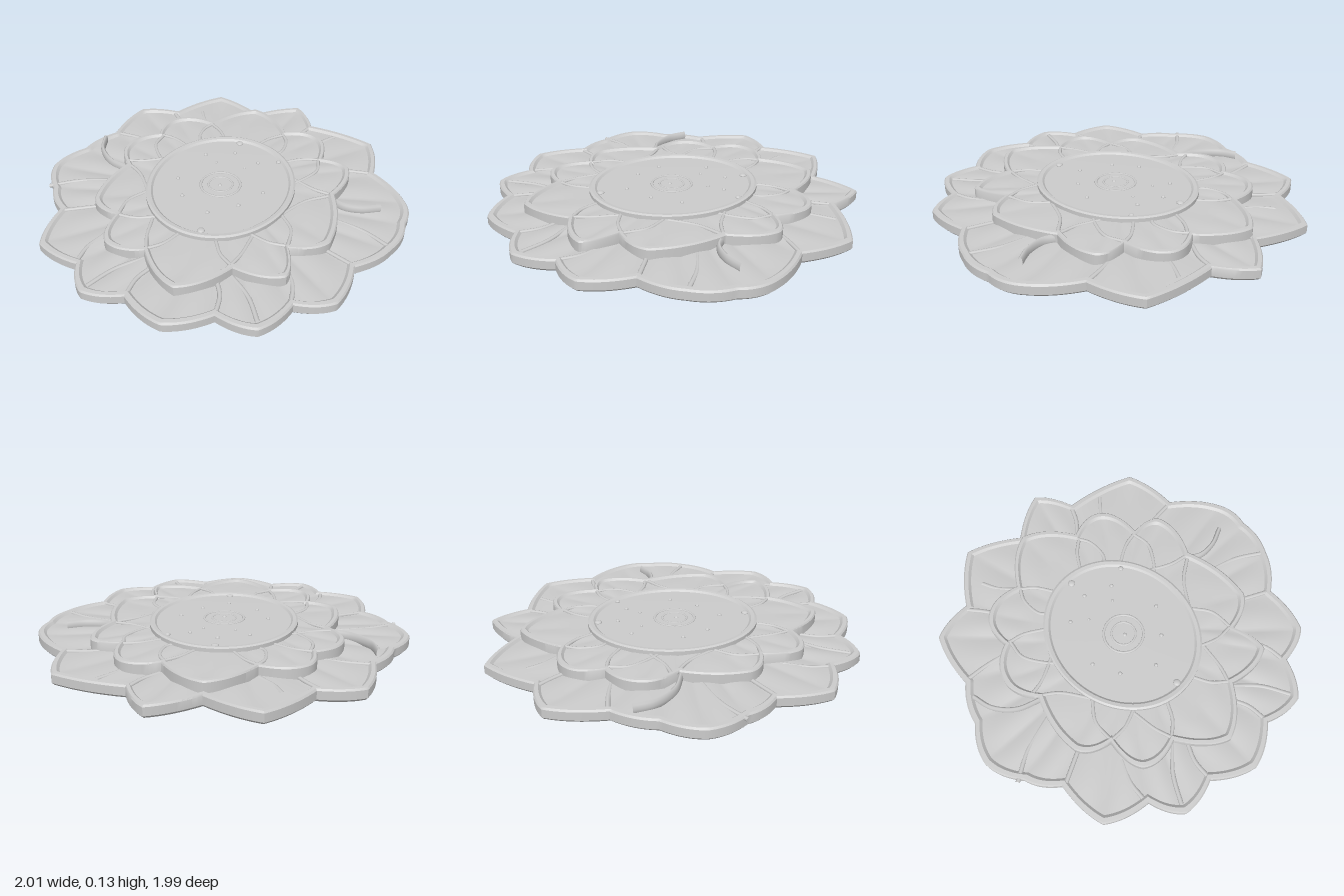
import * as THREE from 'three';
import { toCreasedNormals } from 'three/addons/utils/BufferGeometryUtils.js';

const material = new THREE.MeshStandardMaterial({ color: 0xcccccc, roughness: 0.7 });
const STEPS = 12;

// Petal outlines as [x, z], alternating notch and tip
const OUTER = [
  [0, -0.86], [0.24, -1.0], [0.36, -0.81], [0.74, -0.71], [0.79, -0.42], [0.98, -0.21], [1.0, -0.02],
  [0.95, 0.2], [0.79, 0.38], [0.745, 0.645], [0.55, 0.71], [0.43, 0.9], [0.22, 0.87], [0, 0.99],
  [-0.22, 0.87], [-0.43, 0.9], [-0.53, 0.73], [-0.77, 0.645], [-0.79, 0.36], [-0.91, 0.2], [-1.0, 0],
  [-0.9, -0.2], [-0.79, -0.41], [-0.73, -0.71], [-0.5, -0.75], [-0.28, -1.0],
];
const MIDDLE = [
  [0.23, -0.63], [0.43, -0.63], [0.49, -0.41], [0.65, -0.36], [0.61, -0.1], [0.65, 0.29],
  [0.46, 0.39], [0.49, 0.59], [0.23, 0.6], [0, 0.8], [-0.22, 0.6], [-0.43, 0.59],
  [-0.46, 0.38], [-0.62, 0.28], [-0.57, -0.06], [-0.64, -0.25], [-0.5, -0.41], [-0.45, -0.6],
  [-0.23, -0.62], [0, -0.83],
];

function mesh(geometry, name, parent) {
  const m = new THREE.Mesh(geometry, material);
  m.name = name;
  parent.add(m);
  return m;
}

// Sample the bulging petal edges; v is 0 at a notch and 1 at a tip
function sampleOutline(corners, bulge) {
  const pts = [];
  corners.forEach(([x, z], i) => {
    const [x2, z2] = corners[(i + 1) % corners.length];
    const curve = new THREE.QuadraticBezierCurve(
      new THREE.Vector2(x, z),
      new THREE.Vector2((x + x2) / 2 * bulge, (z + z2) / 2 * bulge),
      new THREE.Vector2(x2, z2));
    for (let s = 0; s < STEPS; s++) {
      const p = curve.getPoint(s / STEPS);
      pts.push({ x: p.x, z: p.y, v: i % 2 ? 1 - s / STEPS : s / STEPS });
    }
  });
  return pts;
}

// Loft a tier through rings of [inset from the outline, height, petal relief]
function tierGeometry(corners, bulge, rings) {
  const outline = sampleOutline(corners, bulge), n = outline.length;
  const pos = [], idx = [];
  for (const [inset, y, relief] of rings) {
    for (const p of outline) {
      const r = Math.hypot(p.x, p.z), k = Math.max(0, r - inset) / r;
      pos.push(p.x * k, y + relief * (Math.sin(p.v * Math.PI) - 0.5), p.z * k);
    }
  }
  for (let i = 0; i < rings.length - 1; i++) {
    for (let j = 0; j < n; j++) {
      const a = i * n + j, b = i * n + (j + 1) % n, c = b + n, d = a + n;
      if (i > 0) idx.push(a, d, b);
      if (i < rings.length - 2) idx.push(b, d, c);
      else idx.push(a, d, b);
    }
    // the first band fans out from the centre
    if (i === 0) for (let j = 0; j < n; j++) idx.push(j, n + j, n + (j + 1) % n);
  }
  const g = new THREE.BufferGeometry();
  g.setAttribute('position', new THREE.Float32BufferAttribute(pos, 3));
  g.setIndex(idx);
  return toCreasedNormals(g, 0.6);
}

// Low rounded ridge along a smooth path of [x, z] points
function ridge(points, y, radius, height, name, parent) {
  const curve = new THREE.CatmullRomCurve3(points.map(([x, z]) => new THREE.Vector3(x, 0, z)));
  const m = mesh(new THREE.TubeGeometry(curve, 20, radius, 8), name, parent);
  m.scale.y = height / radius;
  m.position.y = y;
}

export function createModel() {
  const model = new THREE.Group();
  model.name = 'lotusPlaque';

  // Wide lower petals with raised rims
  const lower = new THREE.Group();
  lower.name = 'lowerPetals';
  model.add(lower);
  mesh(tierGeometry(OUTER, 1.04, [
    [2, 0, 0], [0.012, 0, 0], [0, 0.012, 0], [0, 0.055, 0], [0.008, 0.064, 0], [0.03, 0.065, 0],
    [0.045, 0.053, 0], [0.12, 0.054, 0.008], [0.22, 0.056, 0.01], [0.34, 0.057, 0.008], [2, 0.058, 0],
  ]), 'lowerPetalBody', lower);

  // Seams between the lower petals
  const lowerSeams = [
    [[0.02, -0.87], [0, -0.83], [0, -0.8]],
    [[0.35, -0.8], [0.31, -0.72], [0.24, -0.64]],
    [[0.52, -0.74], [0.46, -0.67], [0.41, -0.6]],
    [[0.78, -0.42], [0.66, -0.41], [0.5, -0.38]],
    [[0.78, 0.37], [0.7, 0.33], [0.6, 0.28]],
    [[0.54, 0.7], [0.53, 0.6], [0.48, 0.48]],
    [[0.42, 0.86], [0.34, 0.72], [0.22, 0.6]],
    [[0.22, 0.86], [0.21, 0.75], [0.17, 0.66]],
    [[0.95, 0.19], [0.8, 0.1], [0.6, 0.04]],
  ];
  for (const seam of lowerSeams) {
    for (const s of [1, -1]) {
      ridge(seam.map(([x, z]) => [s * x * 0.99, z * 0.99]), 0.053, 0.012, 0.01, 'lowerPetalSeam', lower);
    }
  }

  // Two upright curled petal edges at the sides
  ridge([[0.58, -0.1], [0.66, -0.05], [0.76, -0.05], [0.86, -0.09]], 0.07, 0.013, 0.03, 'curledEdgeLeft', lower);
  ridge([[-0.81, -0.31], [-0.78, -0.2], [-0.69, -0.1], [-0.56, -0.05]], 0.07, 0.013, 0.03, 'curledEdgeRight', lower);

  // Upper petals stacked on the lower ones
  const upper = new THREE.Group();
  upper.name = 'upperPetals';
  model.add(upper);
  mesh(tierGeometry(MIDDLE, 1.09, [
    [2, 0.04, 0], [0, 0.04, 0], [0, 0.104, 0], [0.007, 0.112, 0], [0.026, 0.113, 0],
    [0.04, 0.1, 0], [0.09, 0.101, 0.006], [0.16, 0.103, 0.007], [0.26, 0.104, 0], [2, 0.105, 0],
  ]), 'upperPetalBody', upper);

  // Curved overlaps running from the notches to the disc
  const upperSeams = [
    [[0.22, -0.62], [0.26, -0.54], [0.25, -0.42], [0.2, -0.38]],
    [[0.23, -0.61], [0.16, -0.55], [0.1, -0.46]],
    [[0.49, -0.41], [0.4, -0.39], [0.28, -0.32]],
    [[0.48, -0.4], [0.49, -0.3], [0.42, -0.18], [0.36, -0.12]],
    [[0.59, -0.1], [0.5, -0.12], [0.38, -0.18]],
    [[0.59, -0.08], [0.48, 0.0], [0.38, 0.14]],
    [[0.46, 0.38], [0.36, 0.38], [0.25, 0.34]],
    [[0.46, 0.38], [0.45, 0.25], [0.38, 0.15]],
    [[0.22, 0.59], [0.15, 0.53], [0.1, 0.44]],
    [[0.22, 0.59], [0.25, 0.5], [0.27, 0.36]],
  ];
  for (const seam of upperSeams) {
    for (const s of [1, -1]) {
      ridge(seam.map(([x, z]) => [s * x * 0.98, z * 0.98]), 0.102, 0.01, 0.009, 'upperPetalSeam', upper);
    }
  }

  // Oval centre disc with a raised rim
  const centre = new THREE.Group();
  centre.name = 'centre';
  model.add(centre);
  const profile = [[0, 0.122], [0.365, 0.118], [0.375, 0.128], [0.392, 0.13], [0.402, 0.124], [0.402, 0.08]]
    .reverse().map(([x, y]) => new THREE.Vector2(x, y));
  const disc = mesh(toCreasedNormals(new THREE.LatheGeometry(profile, 72), 0.6), 'centreDisc', centre);
  disc.scale.z = 1.145;
  disc.position.z = -0.01;

  // Faint rings and a pin in the middle
  for (const [radius, tube] of [[0.108, 0.007], [0.065, 0.006]]) {
    const ring = mesh(new THREE.TorusGeometry(radius, tube, 8, 48), 'centreRing', centre);
    ring.rotation.x = Math.PI / 2;
    ring.scale.z = 0.6;
    ring.position.y = 0.121;
  }

  // Small studs as [x, z, radius]
  const studs = [
    [0, 0.01, 0.012], [0, -0.31, 0.011], [-0.16, -0.25, 0.011], [0.15, -0.25, 0.011], [0.24, 0.01, 0.011],
    [-0.24, 0.01, 0.011], [-0.17, 0.15, 0.011], [0.14, 0.15, 0.011], [0, 0.25, 0.011],
    [-0.08, -0.19, 0.008], [0.09, -0.18, 0.008],
    [0.26, -0.29, 0.014], [0, -0.415, 0.02], [0.01, 0.395, 0.02],
  ];
  for (const [x, z, r] of studs) {
    const stud = mesh(new THREE.SphereGeometry(r, 14, 8), 'stud', centre);
    stud.scale.y = 0.009 / r;
    stud.position.set(x, 0.12, z);
  }
  return model;
}
